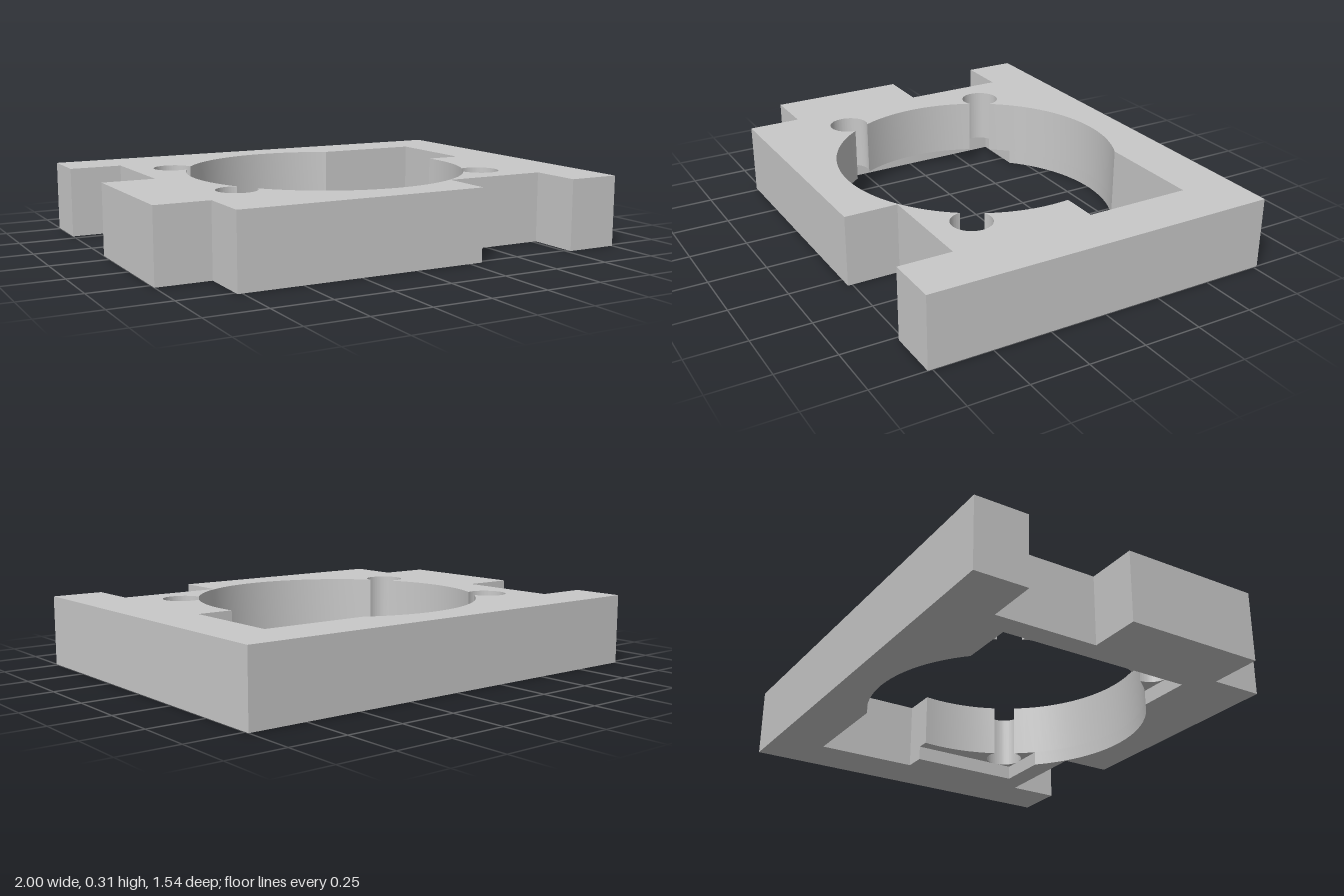
import * as THREE from 'three';
import { toCreasedNormals } from 'three/addons/utils/BufferGeometryUtils.js';

const U = 1 / 13;              // design unit
const HEIGHT = 4 * U;
const RECESS = 0.065;          // depth of the pocket in the underside
const R = 8 * U;               // main bore
const HOLE_R = 0.086, HOLE_X = 0.585, HOLE_Z = 0.355;
const POCKET_X = 0.67, POCKET_Z = 0.44;

const material = new THREE.MeshStandardMaterial({ color: 0xc8c8c8 });
material.name = 'light grey';

const v = (x, y) => new THREE.Vector2(x, y);

// Counter-clockwise arc: both ends plus the points of a fixed angular grid, so layers line up
function arc(cx, cy, r, a0, a1) {
  const step = Math.PI / 48;
  const angles = [a0];
  for (let i = Math.ceil(a0 / step + 0.01); i * step < a1 - 0.01 * step; i++) angles.push(i * step);
  angles.push(a1);
  return angles.map((a) => v(cx + r * Math.cos(a), cy + r * Math.sin(a)));
}

// Plan outline; shape y is -z
function outline() {
  return new THREE.Shape([
    [-13, 10], [-13, 7], [-10, 7], [-10, 1], [-13, 1], [-13, -7], [-10, -7], [-10, -10],
    [4, -10], [4, -7], [10, -7], [10, -10], [13, -10], [13, 10],
  ].map(([x, y]) => v(x * U, y * U)));
}

// Square window that opens into the bore
const windowStart = Math.asin(7 / 8);
const windowEnd = 2 * Math.PI + Math.asin(1 / 8);
const windowCorners = [v(10 * U, U), v(10 * U, 7 * U)];

// Bore with three screw holes breaking into its wall
function boreContour() {
  const D = Math.hypot(HOLE_X, HOLE_Z);
  const delta = Math.acos((R * R + D * D - HOLE_R * HOLE_R) / (2 * R * D));
  const eps = Math.acos((D * D + HOLE_R * HOLE_R - R * R) / (2 * D * HOLE_R));
  const points = [];
  let from = windowStart;
  for (const [x, y] of [[-HOLE_X, HOLE_Z], [-HOLE_X, -HOLE_Z], [HOLE_X, -HOLE_Z]]) {
    const t = (Math.atan2(y, x) + 2 * Math.PI) % (2 * Math.PI);
    points.push(...arc(0, 0, R, from, t - delta));
    points.push(...arc(x, y, HOLE_R, t + Math.PI + eps, t + 3 * Math.PI - eps));
    from = t + delta;
  }
  points.push(...arc(0, 0, R, from, windowEnd), ...windowCorners);
  return points;
}

// Bore joined with the rectangular pocket
function pocketContour() {
  const phi = Math.asin(POCKET_Z / R);
  return [
    ...arc(0, 0, R, windowStart, Math.PI - phi),
    v(-POCKET_X, POCKET_Z), v(-POCKET_X, -POCKET_Z),
    ...arc(0, 0, R, Math.PI + phi, 2 * Math.PI - phi),
    v(POCKET_X, -POCKET_Z), v(POCKET_X, U), ...windowCorners,
  ];
}

// Extruded layer of the plate with one opening
function layer(name, contour, y, height) {
  const shape = outline();
  const clean = contour.filter((p, i) => i === 0 || p.distanceTo(contour[i - 1]) > 1e-5);
  shape.holes.push(new THREE.Path(clean));
  const geometry = new THREE.ExtrudeGeometry(shape, { depth: height, bevelEnabled: false });
  geometry.rotateX(-Math.PI / 2);
  const mesh = new THREE.Mesh(toCreasedNormals(geometry, 0.4), material);
  mesh.name = name;
  mesh.position.y = y;
  return mesh;
}

export function createModel() {
  const group = new THREE.Group();
  group.name = 'mountingPlate';
  group.add(
    layer('boredPlate', boreContour(), RECESS, HEIGHT - RECESS),
    layer('pocketRim', pocketContour(), 0, RECESS),
  );
  return group;
}
